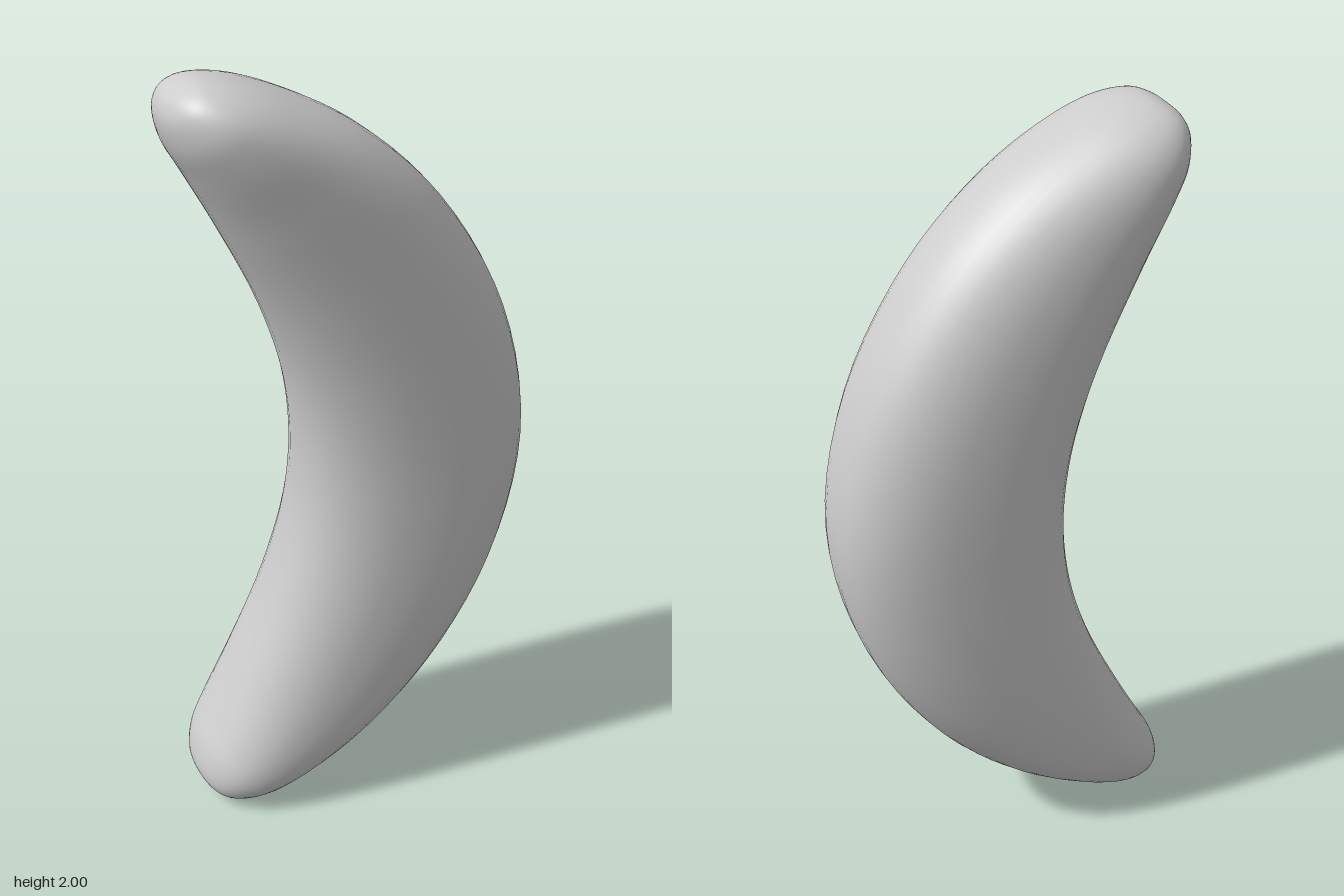
import * as THREE from 'three';

// Half of the crescent, tip to middle: inner x, inner y, outer x, outer y (y from mid-height), half depth
const HALF = [
  [-0.412, 0.972, -0.412, 0.972, 0],
  [-0.428, 0.953, -0.39, 0.988, 0.056],
  [-0.438, 0.915, -0.35, 1.0, 0.106],
  [-0.424, 0.85, -0.275, 0.99, 0.153],
  [-0.385, 0.775, -0.17, 0.95, 0.179],
  [-0.31, 0.63, 0.01, 0.845, 0.193],
  [-0.205, 0.4, 0.2, 0.66, 0.2],
  [-0.143, 0.19, 0.37, 0.36, 0.203],
];
const MIDDLE = [-0.125, 0, 0.44, 0, 0.203];

export function createModel() {
  const group = new THREE.Group();

  // Mirror the half to get the full run of cross-sections
  const lower = HALF.map(([a, b, c, d, w]) => [a, -b, c, -d, w]).reverse();
  const sections = [...HALF, MIDDLE, ...lower];
  const curve = (pick) => new THREE.CatmullRomCurve3(sections.map(pick));
  const inner = curve((s) => new THREE.Vector3(s[0], s[1], 0));
  const outer = curve((s) => new THREE.Vector3(s[2], s[3], s[4])); // z carries the half depth

  // Rings between the inner and outer edge: oval at the tips, squarer in the middle
  const rows = 80, sides = 40;
  const soften = (v, power) => Math.sign(v) * Math.abs(v) ** power;
  const positions = [], index = [];
  for (let i = 0; i <= rows; i++) {
    const a = inner.getPoint(i / rows), b = outer.getPoint(i / rows);
    const power = 1 - 0.2 * Math.sin((Math.PI * i) / rows) ** 2;
    const shift = 0.012 * (a.y + b.y) / 2; // the tips sway slightly apart in z
    for (let j = 0; j < sides; j++) {
      const angle = (j / sides) * Math.PI * 2;
      const across = soften(Math.cos(angle), power);
      const depth = soften(Math.sin(angle), power);
      const k = (1 + across) / 2;
      positions.push(
        a.x + (b.x - a.x) * k,
        1 + a.y + (b.y - a.y) * k,
        shift + b.z * (depth + 0.14 * across), // the outer edge leans forward
      );
      if (i === rows) continue;
      const p = i * sides + j, q = i * sides + ((j + 1) % sides);
      if (i > 0) index.push(p, q, p + sides);
      if (i < rows - 1) index.push(q, q + sides, p + sides);
    }
  }
  const geometry = new THREE.BufferGeometry();
  geometry.setAttribute('position', new THREE.Float32BufferAttribute(positions, 3));
  geometry.setIndex(index);
  geometry.computeVertexNormals();

  const crescent = new THREE.Mesh(geometry, new THREE.MeshStandardMaterial({ color: 0xcccccc }));
  crescent.name = 'crescentBody';
  group.add(crescent);
  return group;
}
